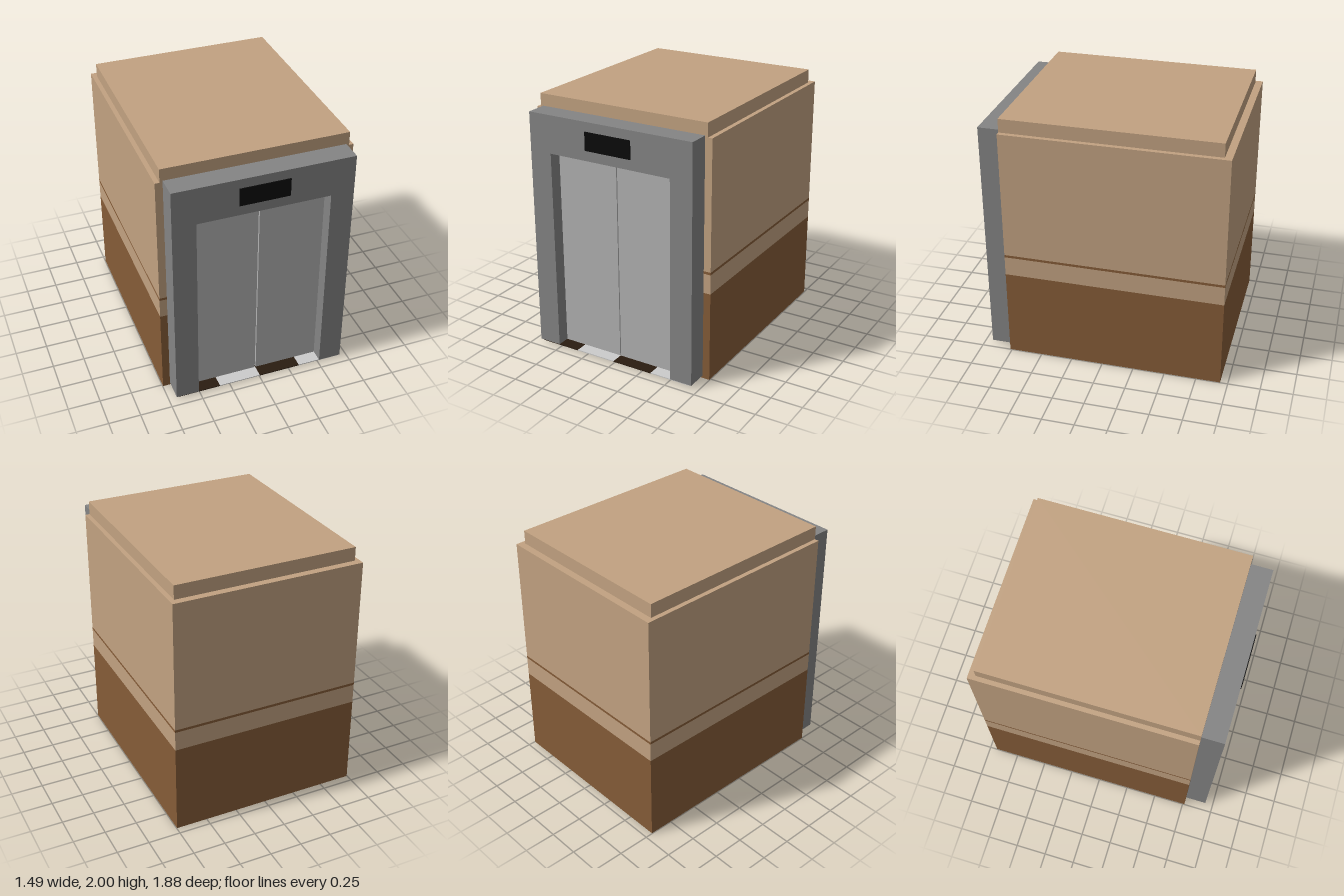
import * as THREE from 'three';

const mat = (color) => new THREE.MeshStandardMaterial({ color, flatShading: true });
const TAN = mat(0xc2a281), BROWN = mat(0x855c38), GREY = mat(0x848484);
const DOOR = mat(0xb2b2b2), BLACK = mat(0x0a0a0a), DARK = mat(0x2a1c10), PALE = mat(0xcccccc);

// Box given by its lower and upper corners
function box(name, material, [x0, y0, z0], [x1, y1, z1]) {
  const mesh = new THREE.Mesh(new THREE.BoxGeometry(x1 - x0, y1 - y0, z1 - z0), material);
  mesh.position.set((x0 + x1) / 2, (y0 + y1) / 2, (z0 + z1) / 2);
  mesh.name = name;
  return mesh;
}

// Extruded outline, U-shaped cabin wall or door frame
function extrude(name, material, points, depth) {
  const shape = new THREE.Shape(points.map(([x, y]) => new THREE.Vector2(x, y)));
  const geometry = new THREE.ExtrudeGeometry(shape, { depth, bevelEnabled: false });
  const mesh = new THREE.Mesh(geometry, material);
  mesh.name = name;
  return mesh;
}

export function createModel() {
  const model = new THREE.Group();
  model.name = 'elevator';

  const W = 0.747, BACK = -0.94, FRONT = 0.765, FACE = 0.935;
  const IW = 0.67, IBACK = -0.87;

  // Cabin walls: three-sided shell, open at the front, in coloured bands
  const plan = [
    [-W, -FRONT], [-IW, -FRONT], [-IW, -IBACK], [IW, -IBACK],
    [IW, -FRONT], [W, -FRONT], [W, -BACK], [-W, -BACK],
  ];
  const bands = [
    ['lowerPanel', BROWN, 0, 0.71],
    ['middlePanel', TAN, 0.71, 0.863],
    ['trimStripe', BROWN, 0.863, 0.883],
    ['upperPanel', TAN, 0.883, 1.893],
  ];
  const walls = new THREE.Group();
  walls.name = 'walls';
  for (const [name, material, y0, y1] of bands) {
    const band = extrude(name, material, plan, y1 - y0);
    band.rotation.x = -Math.PI / 2;
    band.position.y = y0;
    walls.add(band);
  }
  model.add(walls);

  // Roof slab, inset from the sides and back
  model.add(box('roof', TAN, [-0.712, 1.893, -0.885], [0.712, 2, FRONT]));

  // Chequered floor
  const floor = new THREE.Group();
  floor.name = 'floor';
  const n = 4, tileW = (2 * IW) / n, tileD = (0.93 - IBACK) / n;
  for (let i = 0; i < n; i++) {
    for (let j = 0; j < n; j++) {
      const x = -IW + i * tileW, z = IBACK + j * tileD;
      floor.add(box('floorTile', (i + j) % 2 ? DARK : PALE,
        [x, 0.012, z], [x + tileW, 0.019, z + tileD]));
    }
  }
  model.add(floor);

  // Door frame
  const frame = extrude('doorFrame', GREY, [
    [-0.69, 0.02], [-0.51, 0.02], [-0.51, 1.61], [0.51, 1.61],
    [0.51, 0.02], [0.69, 0.02], [0.69, 1.905], [-0.69, 1.905],
  ], FACE - FRONT);
  frame.position.z = FRONT;
  model.add(frame);

  // Sliding doors with a narrow gap between them
  model.add(box('rightDoor', DOOR, [-0.55, 0.01, 0.795], [-0.004, 1.64, 0.832]));
  model.add(box('leftDoor', DOOR, [0.004, 0.01, 0.795], [0.55, 1.64, 0.832]));

  // Blank display panel above the doors
  model.add(box('displayPanel', BLACK, [-0.195, 1.69, 0.93], [0.19, 1.832, 0.943]));

  // Handrail on the inside back wall
  model.add(box('handrail', GREY, [-0.55, 0.79, -0.83], [0.55, 0.83, -0.8]));
  for (const x of [-0.45, 0.45]) {
    model.add(box('handrailBracket', GREY, [x - 0.015, 0.795, IBACK], [x + 0.015, 0.825, -0.83]));
  }

  return model;
}
